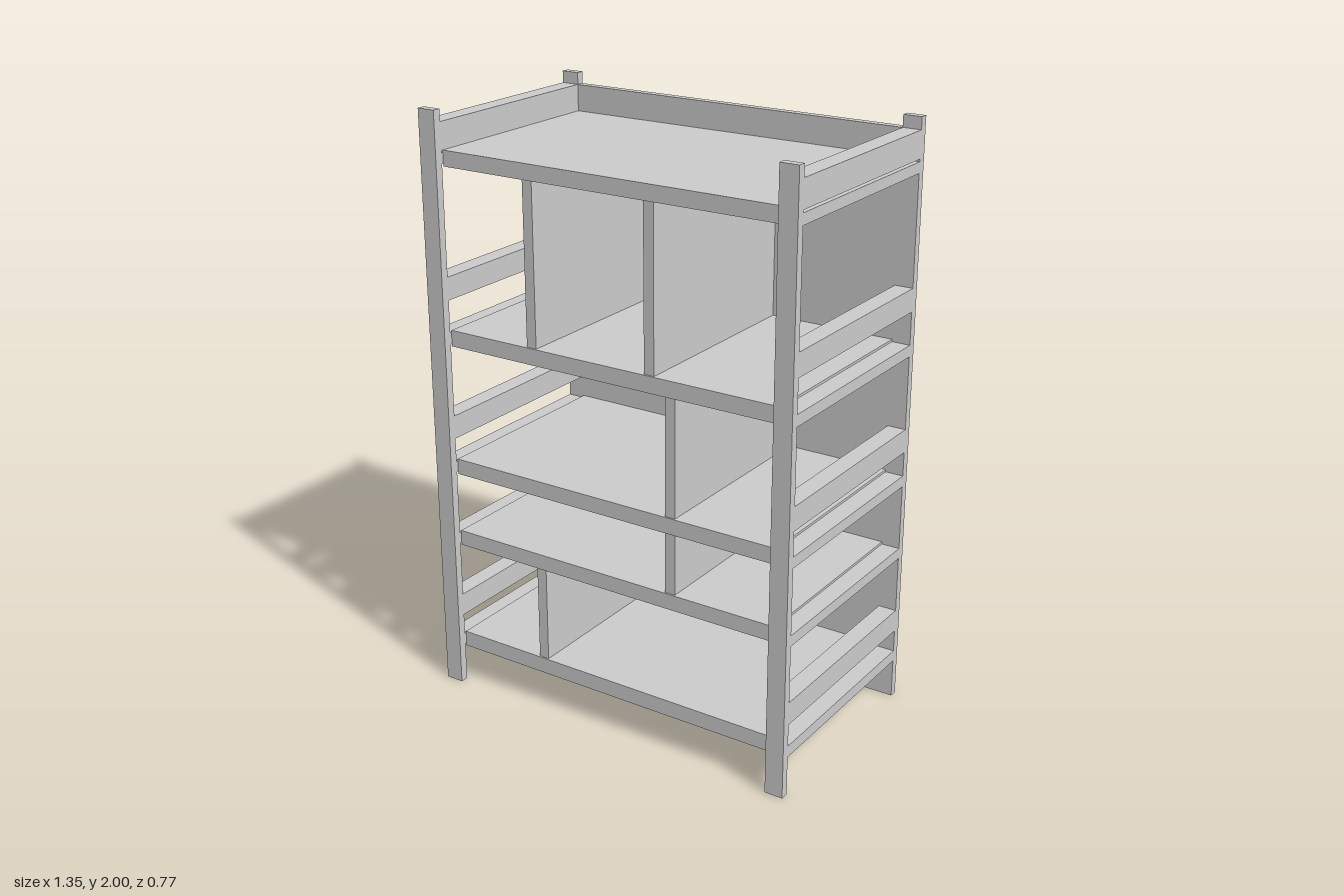
import * as THREE from 'three';

export function createModel() {
  const group = new THREE.Group();
  const material = new THREE.MeshStandardMaterial({ color: 0xcccccc });

  // Box given by its limits on each axis
  function box(name, [x0, x1], [y0, y1], [z0, z1]) {
    const mesh = new THREE.Mesh(new THREE.BoxGeometry(x1 - x0, y1 - y0, z1 - z0), material);
    mesh.name = name;
    mesh.position.set((x0 + x1) / 2, (y0 + y1) / 2, (z0 + z1) / 2);
    group.add(mesh);
  }

  const inner = 0.612, outer = 0.675; // side frame, across x
  const front = 0.385, post = 0.357; // corner posts, along z
  const shelves = [[0.127, 0.182], [0.514, 0.567], [0.775, 0.829], [1.225, 1.28], [1.818, 1.87]];
  const guards = [[0.25, 0.328], [0.904, 0.984], [1.382, 1.46], [1.87, 1.96]];

  for (const side of [1, -1]) {
    const label = side > 0 ? 'left' : 'right';
    const xs = side > 0 ? [inner, outer] : [-outer, -inner];

    // Corner posts
    box(label + 'FrontPost', xs, [0, 2], [post, front]);
    box(label + 'BackPost', xs, [0, 2], [-front, -post]);

    // Guard rails above the shelves
    guards.forEach((ys, i) => box(label + 'GuardRail' + (i + 1), xs, ys, [-post, post]));

    // Rails carrying the shelf ends, a little slimmer than the shelves
    shelves.forEach(([y0, y1], i) =>
      box(label + 'ShelfRail' + (i + 1), xs, [y0 + 0.008, y1 - 0.008], [-post, post]));
  }

  // Back panel, flush with the back posts
  box('backPanel', [-inner, inner], [0, 1.96], [-front, -post]);

  // Shelves
  shelves.forEach((ys, i) => box('shelf' + (i + 1), [-inner, inner], ys, [-post, 0.351]));

  // Upright dividers: [bay above shelf, centre x]
  const dividers = [[0, -0.276], [1, 0.231], [2, 0.231], [3, -0.29], [3, 0.155]];
  dividers.forEach(([bay, x], i) =>
    box('divider' + (i + 1), [x - 0.018, x + 0.018],
      [shelves[bay][1], shelves[bay + 1][0]], [-post, 0.345]));

  return group;
}
